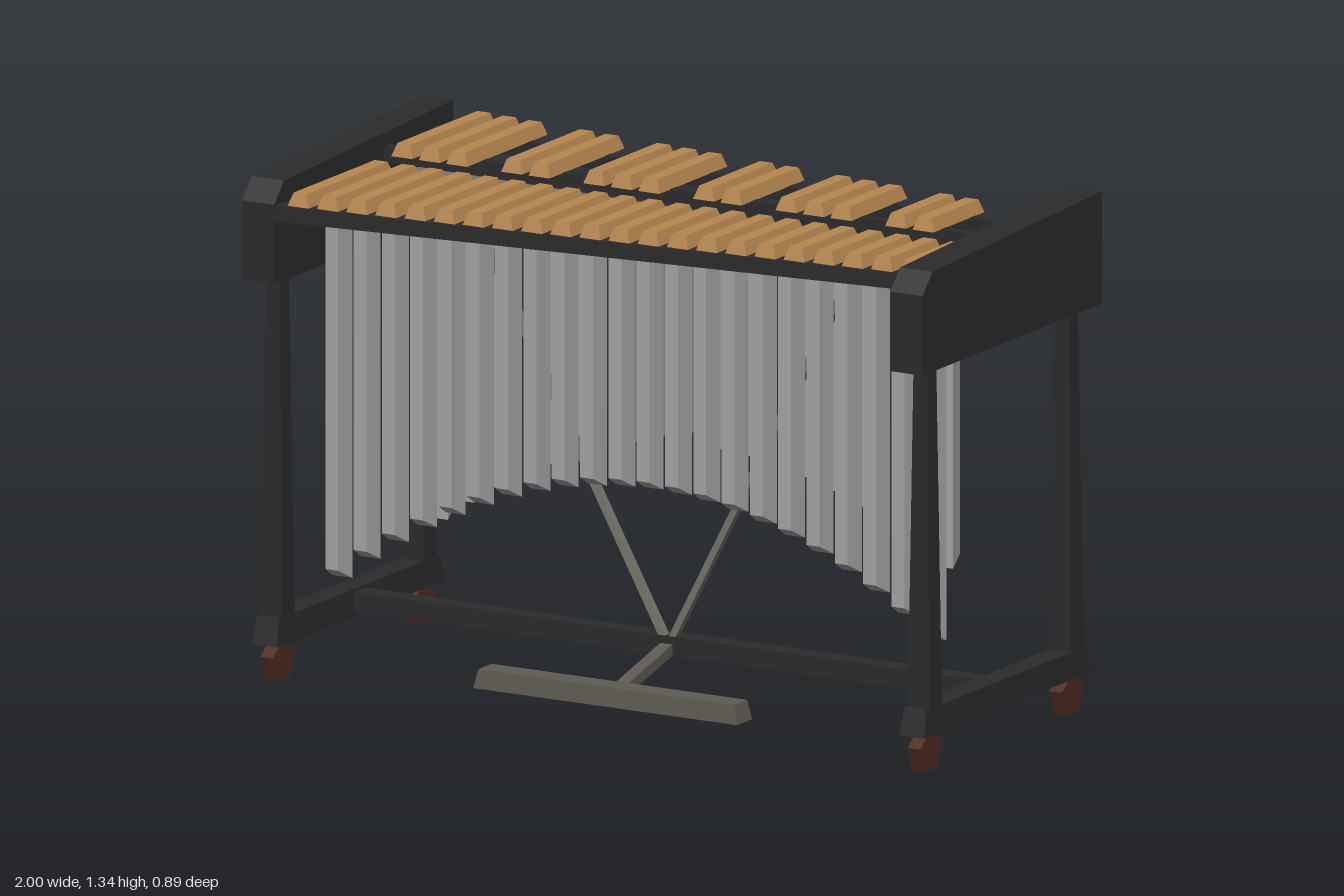
import * as THREE from 'three';

const mat = (name, color) => {
  const m = new THREE.MeshStandardMaterial({ color });
  m.name = name;
  return m;
};

export function createModel() {
  const black = mat('black frame', 0x2b2b2b);
  const wood = mat('bar wood', 0xb78750);
  const silver = mat('resonator silver', 0xa6a5a4);
  const steel = mat('dull steel', 0x77756a);
  const pedalGrey = mat('pedal grey', 0x5e5a53);
  const brown = mat('caster brown', 0x4e2c22);
  const root = new THREE.Group();

  const add = (name, geo, material, parent = root) => {
    const mesh = new THREE.Mesh(geo, material);
    mesh.name = name;
    parent.add(mesh);
    return mesh;
  };
  const group = (name) => {
    const g = new THREE.Group();
    g.name = name;
    root.add(g);
    return g;
  };

  // Unit box whose corners are moved by a rule on their signs
  const shaped = (rule) => {
    const g = new THREE.BoxGeometry(2, 2, 2);
    const p = g.attributes.position;
    for (let i = 0; i < p.count; i++) p.setXYZ(i, ...rule(p.getX(i), p.getY(i), p.getZ(i)));
    g.computeVertexNormals();
    return g;
  };
  // Block that tapers from a bottom size [w, d] to a top size
  const taper = ([bw, bd], [tw, td], y0, y1) => shaped((x, y, z) => [
    (x * (y > 0 ? tw : bw)) / 2, y > 0 ? y1 : y0, (z * (y > 0 ? td : bd)) / 2]);
  // Flat slab from an outline of [x, z] points
  const slab = (points, y0, y1) => {
    const shape = new THREE.Shape(points.map(([x, z]) => new THREE.Vector2(x, -z)));
    const g = new THREE.ExtrudeGeometry(shape, { depth: y1 - y0, bevelEnabled: false });
    return g.rotateX(-Math.PI / 2).translate(0, y0, 0);
  };
  // Slanting rail between the two end panels
  const rail = (zl, zr, w, y0, y1) => slab([
    [-0.91, zl - w / 2], [0.91, zr - w / 2], [0.91, zr + w / 2], [-0.91, zl + w / 2]], y0, y1);
  // Square rod between two points
  const rod = (name, a, b, w, d, material) => {
    const from = new THREE.Vector3(...a), to = new THREE.Vector3(...b);
    const mesh = add(name, new THREE.BoxGeometry(w, d, from.distanceTo(to)), material);
    mesh.position.copy(from).add(to).multiplyScalar(0.5);
    mesh.lookAt(to);
    return mesh;
  };

  // End frames: panel, legs, foot and casters on each side
  const panelShape = new THREE.Shape([[-0.445, 1.05], [0.445, 1.05], [0.445, 1.257], [0.396, 1.31], [-0.445, 1.343]]
    .map(([z, y]) => new THREE.Vector2(-z, y)));
  for (const s of [-1, 1]) {
    const end = group(s > 0 ? 'leftEnd' : 'rightEnd');
    const panel = new THREE.ExtrudeGeometry(panelShape, { depth: 0.095, bevelEnabled: false });
    add('endPanel', panel.translate(0, 0, -0.0475).rotateY(Math.PI / 2), black, end).position.x = s * 0.9525;
    add('foot', taper([0.073, 0.83], [0.064, 0.8], 0.097, 0.167), black, end).position.x = s * 0.951;
    for (const z of [-0.351, 0.351]) {
      add('leg', taper([0.064, 0.062], [0.04, 0.045], 0.16, 1.06), black, end).position.set(s * 0.951, 0, z);
      const wheel = new THREE.CylinderGeometry(0.058, 0.058, 0.037, 5).toNonIndexed();
      wheel.rotateZ(Math.PI / 2).rotateX(-Math.PI / 2).computeVertexNormals();
      add('caster', wheel, brown, end).position.set(s * 0.951, 0.047, z);
    }
  }
  add('crossbar', new THREE.BoxGeometry(1.85, 0.05, 0.055), black).position.set(0, 0.135, 0);

  // Frame under the bars
  add('lowerBed', slab([[-0.91, -0.03], [0.91, -0.03], [0.91, 0.25], [-0.91, 0.442]], 1.213, 1.254), black);
  add('upperBackRail', rail(-0.355, -0.203, 0.028, 1.255, 1.295), black);
  add('upperFrontRail', rail(-0.112, -0.066, 0.028, 1.255, 1.295), black);
  add('frontResonatorPlate', rail(0.236, 0.139, 0.075, 1.19, 1.206), steel);
  add('backResonatorPlate', rail(-0.231, -0.136, 0.075, 1.19, 1.206), steel);

  // Tone bars and the resonators below them
  const bars = group('bars');
  const tubes = group('resonators');
  const addBar = (x, z0, z1, y) => {
    const d = z1 - z0;
    add('bar', taper([0.062, d], [0.038, d - 0.02], y, y + 0.034), wood, bars).position.set(x, 0, (z0 + z1) / 2);
  };
  // Tapered tube with a slanted bottom; side is the way its narrow face points
  const addTube = (x, z, low, side) => add('resonator', shaped((sx, sy, sz) => {
    const outer = sz * side > 0;
    return [sx * (outer ? 0.019 : 0.029), sy > 0 ? 1.195 : low + (outer ? 0.028 : 0), sz * 0.0265];
  }), silver, tubes).position.set(x, 0, z);
  const arch = (x) => 0.577 - 0.44 * (x - 0.02) ** 2;

  for (let i = 0; i < 22; i++) {
    const x = -0.846 + i * 0.0806;
    addBar(x, 0.004, 0.336 - 0.1065 * x, 1.254);
    addTube(x, 0.1875 - 0.0538 * x, arch(x), 1);
  }
  for (const i of [0, 1, 2, 4, 5, 7, 8, 9, 11, 12, 14, 15, 16, 18, 19]) {
    const x = -0.846 + (i + 0.5) * 0.0806;
    addBar(x, -0.35 + 0.1065 * x, -0.02, 1.294);
    addTube(x, -0.184 + 0.0523 * x, arch(x) + 0.04, -1);
  }

  // Damper pedal with its arm and V of rods
  add('pedal', taper([0.775, 0.075], [0.75, 0.066], 0.04, 0.09), pedalGrey).position.set(0, 0, 0.294);
  rod('pedalArm', [0, 0.062, 0.28], [0, 0.135, -0.01], 0.036, 0.028, pedalGrey);
  for (const s of [-1, 1]) rod('damperRod', [0, 0.13, 0.014], [s * 0.575, 1.215, 0.04], 0.022, 0.018, steel);

  return root;
}
